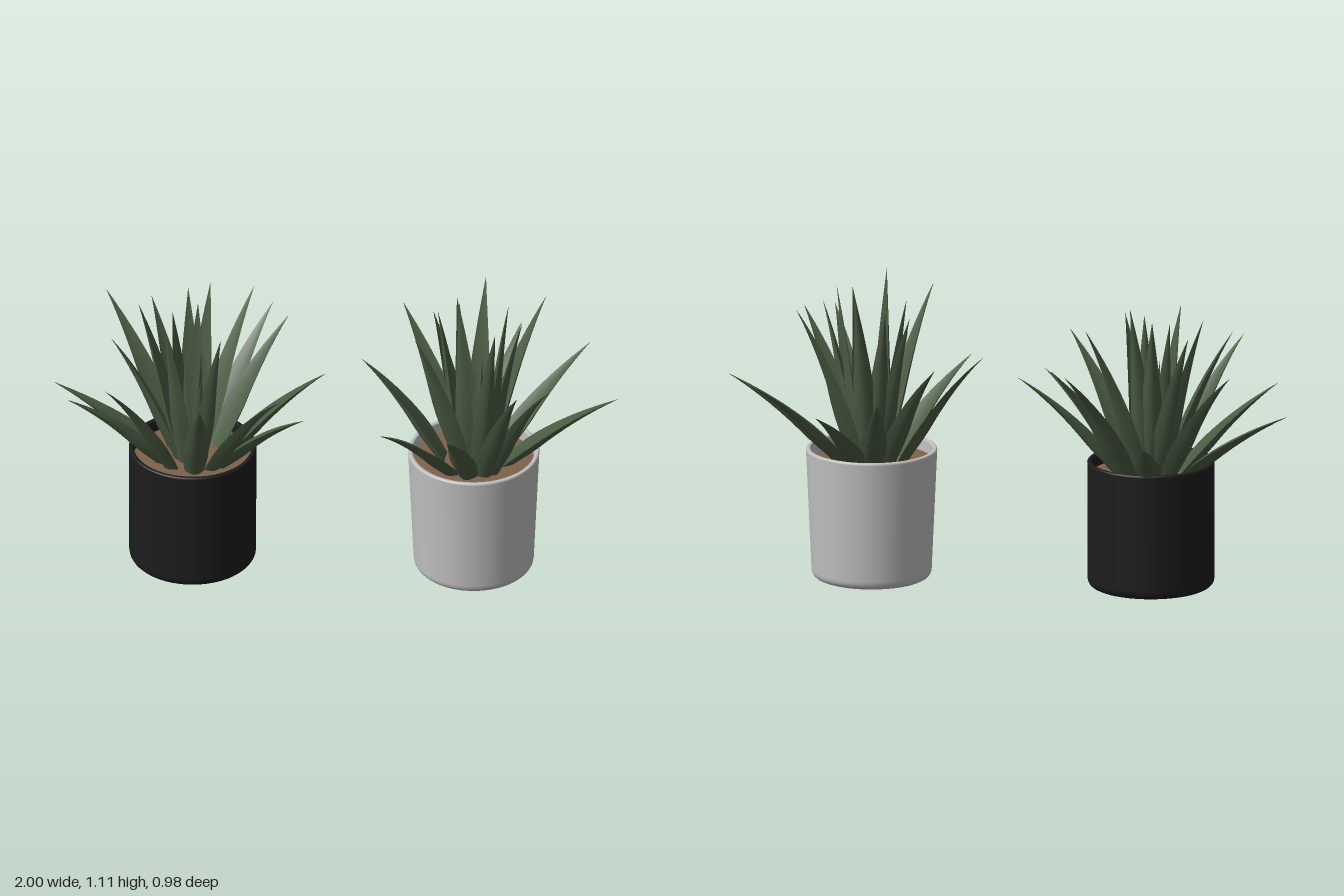
import * as THREE from 'three';

const material = (name, color) => {
  const m = new THREE.MeshStandardMaterial({ color });
  m.name = name;
  return m;
};

// Tapered leaf: convex underside, slightly hollow upper face, arching from base to tip.
function leafGeometry(base, tip, halfWidth, arch) {
  const rows = 12, cols = 6;
  const flat = new THREE.Vector3(tip.x - base.x, 0, tip.z - base.z);
  const control = base.clone().addScaledVector(flat, 0.42);
  control.y += (tip.y - base.y) * arch;
  const spine = new THREE.QuadraticBezierCurve3(base, control, tip);
  const side = flat.clone().normalize().cross(new THREE.Vector3(0, 1, 0));
  const positions = [], index = [];
  for (const face of [1, -1]) { // 1 = underside, -1 = upper face
    const start = positions.length / 3;
    for (let i = 0; i <= rows; i++) {
      const t = i / rows;
      const p = spine.getPoint(t);
      const normal = side.clone().cross(spine.getTangent(t)).normalize();
      const w = halfWidth * (t < 0.3
        ? 0.7 + 0.3 * Math.sin((t / 0.3) * Math.PI / 2)
        : Math.max(0.01, 1 - Math.pow((t - 0.3) / 0.7, 1.1)));
      for (let j = 0; j <= cols; j++) {
        const s = (j / cols) * 2 - 1;
        const depth = (1 - s * s) * (face === 1 ? 0.75 : 0.1);
        const q = p.clone().addScaledVector(side, s * face * w).addScaledVector(normal, -depth * w);
        positions.push(q.x, q.y, q.z);
      }
    }
    for (let i = 0; i < rows; i++) {
      for (let j = 0; j < cols; j++) {
        const a = start + i * (cols + 1) + j, b = a + cols + 1;
        index.push(a, b, a + 1, b, b + 1, a + 1);
      }
    }
  }
  const g = new THREE.BufferGeometry();
  g.setAttribute('position', new THREE.Float32BufferAttribute(positions, 3));
  g.setIndex(index);
  g.computeVertexNormals();
  return g;
}

// Hollow pot with a rounded foot and a softly rounded rim.
function potGeometry(bottom, top, height) {
  const foot = 0.028, wall = 0.016, floor = height - 0.1;
  const pts = [[0, 0], [bottom - foot - 0.003, 0]];
  for (let i = 0; i <= 5; i++) {
    const a = (i / 5) * Math.PI / 2;
    pts.push([bottom - foot + Math.sin(a) * foot, foot - Math.cos(a) * foot]);
  }
  pts.push([bottom + 0.0003, foot + 0.004], [top - 0.0003, height - 0.008]);
  pts.push([top, height - 0.005], [top - 0.002, height - 0.001], [top - 0.005, height]);
  pts.push([top - wall + 0.003, height], [top - wall, height - 0.003]);
  pts.push([top - wall - 0.0005, height - 0.008], [top - wall - 0.004, floor]);
  return new THREE.LatheGeometry(pts.map(([x, y]) => new THREE.Vector2(x, y)), 64);
}

// Leaf tips as [x, y, z]: spreading leaves first, upright heart leaves after.
const darkPotTips = [
  [-1.0, 0.65, -0.05], [-0.035, 0.75, 0.0], [-0.54, 0.63, -0.49], [-0.83, 0.86, -0.34],
  [-0.24, 0.84, -0.32], [-0.18, 0.84, -0.235], [-0.94, 0.715, 0.17], [-0.8, 0.85, 0.32],
  [-0.46, 0.82, 0.4], [-0.18, 0.84, 0.345], [-0.1, 0.715, 0.265],
];
const darkPotHeart = [
  [-0.3, 0.98, -0.2], [-0.7, 0.99, -0.04], [-0.79, 0.92, 0.08], [-0.6, 1.0, 0.13], [-0.53, 1.0, -0.14],
  [-0.49, 1.0, -0.04], [-0.45, 1.04, -0.12], [-0.4, 0.96, 0.14], [-0.58, 0.97, -0.03], [-0.66, 0.95, -0.16],
];
const lightPotTips = [
  [1.0, 0.715, 0.06], [0.09, 0.815, 0.0], [0.41, 0.745, -0.44], [0.63, 0.7, -0.455],
  [0.22, 0.85, -0.325], [0.885, 0.755, -0.25], [0.765, 0.9, 0.335], [0.66, 0.9, 0.375],
  [0.415, 0.775, 0.485], [0.175, 0.73, 0.375],
];
const lightPotHeart = [
  [0.29, 1.03, 0.21], [0.44, 1.11, 0.08], [0.61, 1.06, 0.015], [0.52, 1.06, -0.175], [0.735, 1.01, -0.14],
  [0.36, 1.02, 0.0], [0.42, 1.0, -0.13], [0.57, 1.02, 0.15], [0.66, 1.0, 0.03], [0.34, 0.97, -0.08],
];

export function createModel() {
  const leafGreen = material('leaf green', 0x4a5b42);
  const soilBrown = material('soil brown', 0x7e624b);
  const charcoal = material('charcoal pot', 0x1c1c1c);
  const paleGrey = material('pale grey pot', 0xc0c0c0);

  function pottedPlant(name, x, z, pot, potMaterial, tips, heart) {
    const group = new THREE.Group();
    group.name = name;
    group.position.set(x, 0, z);
    const add = (part, geometry, mat) => {
      const mesh = new THREE.Mesh(geometry, mat);
      mesh.name = part;
      group.add(mesh);
      return mesh;
    };
    add('pot', potGeometry(pot.bottom, pot.top, pot.height), potMaterial);
    const soilY = pot.height - 0.045;
    add('soil', new THREE.CylinderGeometry(pot.top - 0.017, pot.top - 0.019, 0.04, 48), soilBrown)
      .position.y = soilY - 0.02;

    // Leaves grow in a rosette: spreading leaves outside, upright ones at the heart.
    const leaf = (part, [tx, ty, tz], spread, halfWidth, arch) => {
      const tip = new THREE.Vector3(tx - x, ty, tz - z);
      const base = new THREE.Vector3(tip.x, 0, tip.z).setLength(spread);
      base.y = soilY - 0.015;
      add(part, leafGeometry(base, tip, halfWidth, arch), leafGreen);
    };
    tips.forEach((t) => leaf('spreadingLeaf', t, 0.09, 0.047, 0.62));
    heart.forEach((t) => leaf('heartLeaf', t, 0.035, 0.044, 0.6));

    // Short young leaves close the middle of the rosette.
    for (let i = 0; i < 5; i++) {
      const a = i * 2.4, r = 0.03 + i * 0.008;
      leaf('youngLeaf', [x + Math.cos(a) * r, 0.84 - i * 0.03, z + Math.sin(a) * r], 0.008, 0.032, 0.5);
    }
    return group;
  }

  const model = new THREE.Group();
  model.name = 'pottedSucculents';
  model.add(
    pottedPlant('darkPotPlant', -0.505, 0.03, { bottom: 0.224, top: 0.225, height: 0.455 },
      charcoal, darkPotTips, darkPotHeart),
    pottedPlant('lightPotPlant', 0.488, 0.03, { bottom: 0.212, top: 0.232, height: 0.47 },
      paleGrey, lightPotTips, lightPotHeart),
  );
  return model;
}
